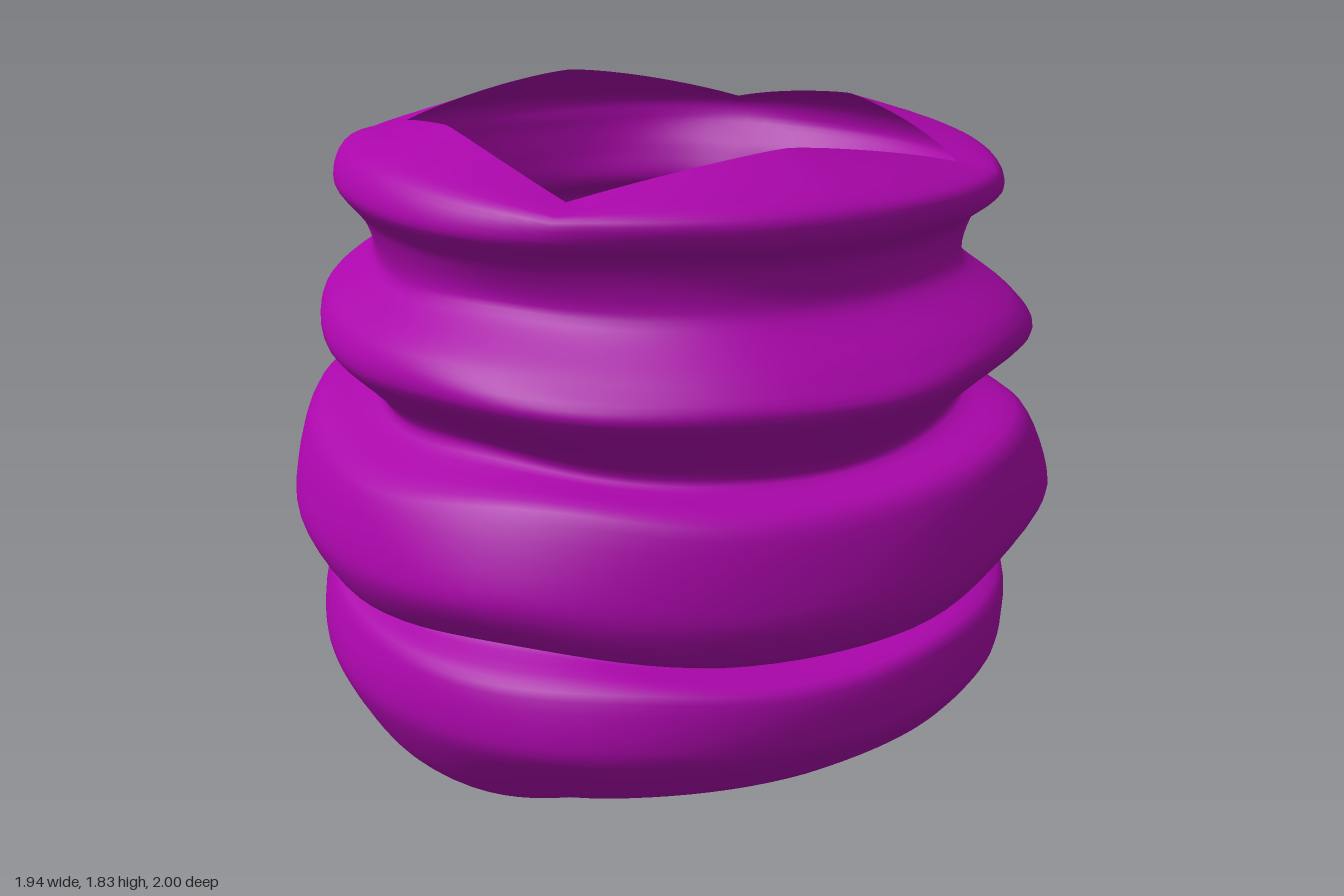
import * as THREE from 'three';

// Folds from the top rim to the bottom rim: radius and height at side, front and back
const FOLDS = [
  [0.57, 1.80, 0.63, 1.80, 0.56, 1.83],
  [0.77, 1.73, 0.84, 1.71, 0.82, 1.72],
  [0.82, 1.64, 0.85, 1.64, 0.83, 1.64],
  [0.76, 1.55, 0.78, 1.57, 0.81, 1.54],
  [0.74, 1.44, 0.78, 1.46, 0.80, 1.45],
  [0.86, 1.34, 0.91, 1.35, 0.89, 1.39],
  [0.88, 1.25, 0.96, 1.27, 0.86, 1.27],
  [0.75, 1.10, 0.80, 1.09, 0.78, 1.14],
  [0.91, 1.01, 0.94, 1.03, 0.94, 1.06],
  [0.97, 0.82, 1.00, 0.82, 1.00, 0.83],
  [0.91, 0.69, 0.94, 0.70, 0.93, 0.70],
  [0.80, 0.64, 0.80, 0.63, 0.82, 0.63],
  [0.88, 0.59, 0.93, 0.61, 0.94, 0.58],
  [0.91, 0.43, 0.94, 0.46, 0.95, 0.42],
  [0.82, 0.25, 0.84, 0.34, 0.87, 0.20],
  [0.71, 0.14, 0.75, 0.27, 0.69, 0.06],
  [0.55, 0.06, 0.63, 0.23, 0.45, 0.00],
];
// Pressed-in spots: angle, fold position, depth
const DENTS = [[0.62, 13.3, 0.06], [-0.3, 9.6, 0.05], [-0.3, 13, 0.04], [-0.8, 4, 0.04]];
const AROUND = 96, DOWN = 96;

// Profile of the cloth at one angle around the body
function profileAt(angle) {
  const c = Math.cos(angle), s = Math.sin(angle);
  const ac = Math.abs(c), as = Math.abs(s), longest = Math.max(ac, as);
  const toCorner = Math.min(ac, as) / longest;
  const diagonal = Math.sin(2 * angle) ** 2;
  const square = (1 - 0.1 * toCorner ** 2) / longest;
  const round = (ac ** 2.15 + as ** 2.15) ** (-1 / 2.15);
  const points = FOLDS.map(([sideR, sideY, frontR, frontY, backR, backY], k) => {
    const t = k / (FOLDS.length - 1), fade = Math.sin(Math.PI * t);
    const edge = Math.abs(2 * t - 1);
    // round in the middle, sharp-cornered square at both openings
    const r = THREE.MathUtils.lerp(round, square, edge ** 14);
    // opening corners bend towards the middle, folds rise between the sides
    const rimLift = (t < 0.5 ? -0.085 : 0.09 + 0.05 * s) * edge ** 8 * toCorner ** 1.3;
    const lift = rimLift + diagonal * fade * (0.02 + 0.035 * t);
    // gentle crumpling that fades out at both rims
    let puff = 1 + 0.014 * fade * Math.sin(5 * angle + k * 1.9) * Math.sin(2 * angle);
    for (const [a, row, depth] of DENTS) {
      const turn = Math.atan2(Math.sin(angle - a), Math.cos(angle - a));
      puff -= depth * Math.exp(-((turn / 0.17) ** 2) - ((k - row) / 0.9) ** 2);
    }
    const sag = 0.014 * fade * diagonal * Math.sin(4 * angle + Math.floor(k / 4) * 2.3);
    const tilt = 0.025 * fade * c * t;
    const shift = 0.03 * fade * (1 - t);
    const y = sideY * c * c + (s > 0 ? frontY : backY) * s * s + lift + sag + tilt;
    return new THREE.Vector3(
      sideR * c * r * puff + shift, y, (s > 0 ? frontR : backR) * s * r * puff);
  });
  return new THREE.CatmullRomCurve3(points, false, 'catmullrom', 0.4);
}

// Closed ring of profiles, open at the top and the bottom
function sleeveGeometry() {
  const positions = [], index = [];
  const stride = DOWN + 1;
  for (let i = 0; i < AROUND; i++) {
    const curve = profileAt(i / AROUND * Math.PI * 2);
    for (let j = 0; j <= DOWN; j++) positions.push(...curve.getPoint(j / DOWN).toArray());
    const a = i * stride, b = ((i + 1) % AROUND) * stride;
    for (let j = 0; j < DOWN; j++) {
      index.push(a + j, b + j, a + j + 1, b + j, b + j + 1, a + j + 1);
    }
  }
  const geometry = new THREE.BufferGeometry();
  geometry.setAttribute('position', new THREE.Float32BufferAttribute(positions, 3));
  geometry.setIndex(index);
  geometry.computeVertexNormals();
  return geometry;
}

export function createModel() {
  const group = new THREE.Group();
  group.name = 'gatheredSleeve';
  const cloth = new THREE.MeshStandardMaterial({ color: 0xaa06aa, side: THREE.DoubleSide });
  const sleeve = new THREE.Mesh(sleeveGeometry(), cloth);
  sleeve.name = 'foldedCloth';
  group.add(sleeve);
  return group;
}
